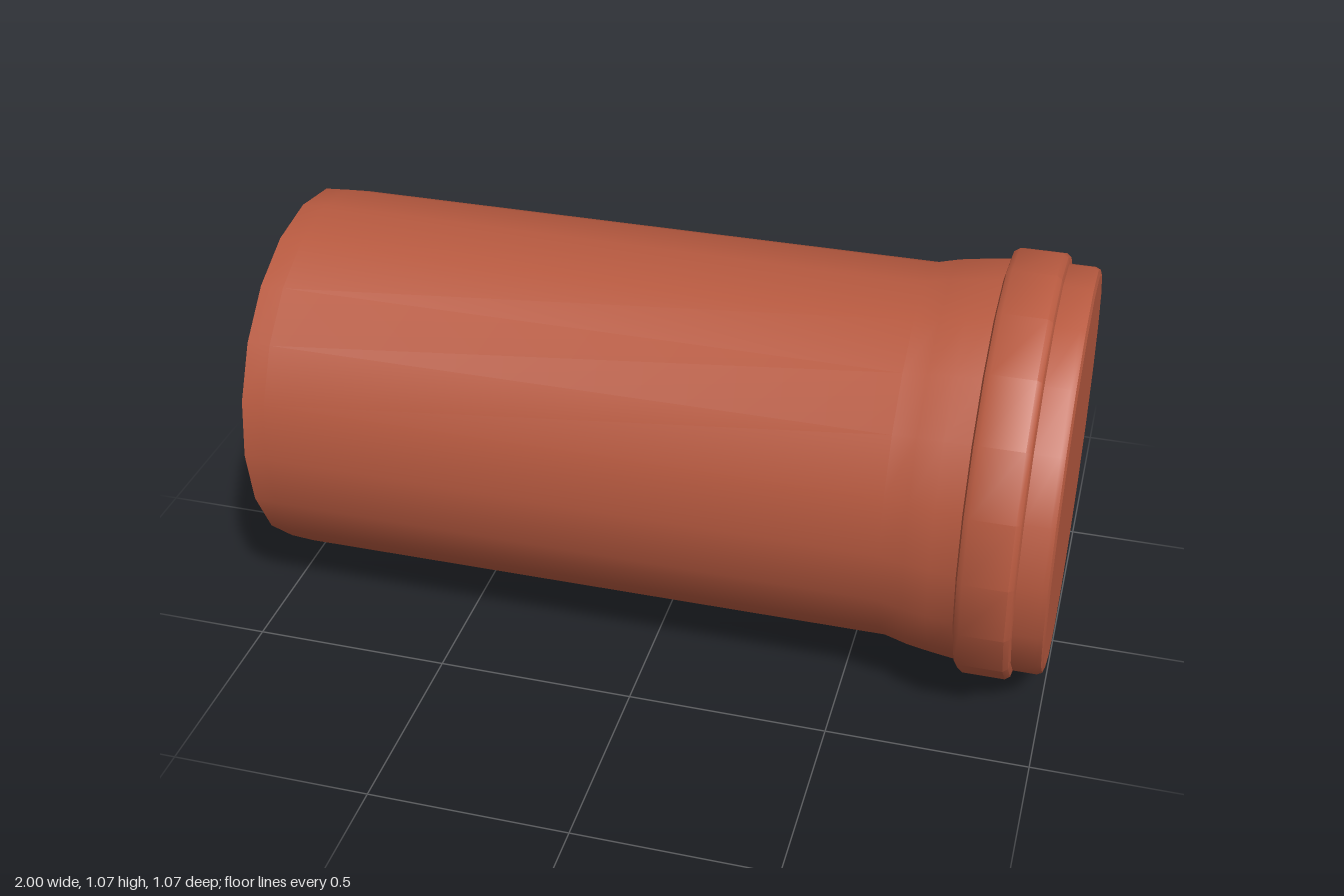
import * as THREE from 'three';
import { toCreasedNormals } from 'three/addons/utils/BufferGeometryUtils.js';

const SIDES = 20;
const AXIS_Y = 0.533;

export function createModel() {
  const model = new THREE.Group();
  model.name = 'socketPipe';
  const clay = new THREE.MeshStandardMaterial({ color: 0xb85a40 });

  // Surface of revolution along x, from [x, radius] pairs
  const turned = (name, profile) => {
    const points = profile.map(([x, r]) => new THREE.Vector2(r, x));
    const geometry = new THREE.LatheGeometry(points, SIDES).rotateZ(-Math.PI / 2);
    const mesh = new THREE.Mesh(toCreasedNormals(geometry, 0.7), clay);
    mesh.position.y = AXIS_Y;
    mesh.name = name;
    model.add(mesh);
  };

  // Flat disc closing an end, facing along side (+1 or -1)
  const endCap = (name, side, radius) => {
    const geometry = new THREE.CircleGeometry(radius, SIDES).rotateY(side * Math.PI / 2);
    const mesh = new THREE.Mesh(geometry, clay);
    mesh.position.set(side, AXIS_Y, 0);
    mesh.name = name;
    model.add(mesh);
  };

  // Straight barrel with a slightly eased end, flaring into the socket
  turned('barrelAndFlare', [
    [-1, 0.468], [-0.94, 0.472], [0.6, 0.472], [0.66, 0.487], [0.72, 0.496], [0.785, 0.504],
  ]);

  // Raised sealing ring and the chamfered socket lip
  turned('sealRingAndLip', [
    [0.785, 0.504], [0.79, 0.524], [0.803, 0.533], [0.908, 0.533], [0.92, 0.524],
    [0.924, 0.508], [0.983, 0.508], [0.995, 0.502], [1, 0.488],
  ]);

  endCap('spigotEnd', -1, 0.468);
  endCap('socketEnd', 1, 0.488);
  return model;
}
